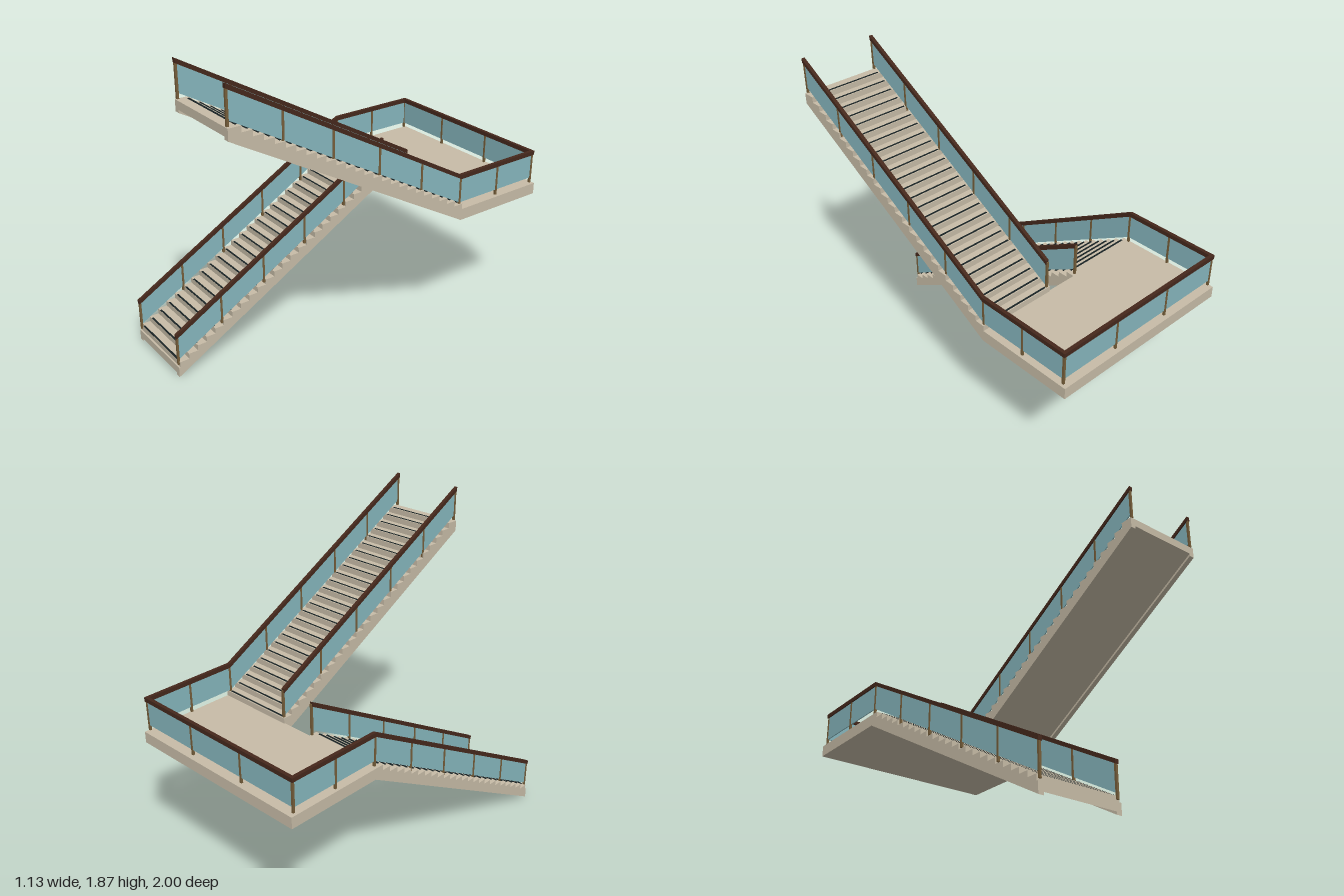
import * as THREE from 'three';

const mat = (name, color) => Object.assign(new THREE.MeshStandardMaterial({ color }), { name });

export function createModel() {
  const concrete = mat('concrete', 0xc7bca7);
  const glass = mat('glass', 0x86b6bd);
  const wood = mat('dark wood', 0x45281c);
  const bronze = mat('bronze', 0x765e3a);
  const grip = mat('grip strip', 0x182224);

  const model = new THREE.Group();
  model.name = 'staircase';

  const STEPS = 25, GOING = 0.0568, EDGE = -0.425;
  const DECK = 0.867, DECK_LOW = 0.802;

  function add(parent, name, geometry, material) {
    const mesh = new THREE.Mesh(geometry, material);
    mesh.name = name;
    parent.add(mesh);
    return mesh;
  }
  function box(parent, name, material, x0, x1, y0, y1, z0, z1) {
    const m = add(parent, name, new THREE.BoxGeometry(x1 - x0, y1 - y0, z1 - z0), material);
    m.position.set((x0 + x1) / 2, (y0 + y1) / 2, (z0 + z1) / 2);
  }
  // Side profile of [z, y] points, extruded from x0 to x1
  function profile(parent, name, material, pts, x0, x1) {
    const shape = new THREE.Shape(pts.map(([z, y]) => new THREE.Vector2(z, y)));
    const g = new THREE.ExtrudeGeometry(shape, { depth: x1 - x0, bevelEnabled: false });
    g.rotateY(-Math.PI / 2).translate(x1, 0, 0);
    add(parent, name, g, material);
  }
  // Band that follows a path of [z, y] points between two vertical offsets
  function band(parent, name, material, path, low, high, x, width) {
    const pts = [
      ...path.map(([z, y]) => [z, y + low]),
      ...path.slice().reverse().map(([z, y]) => [z, y + high]),
    ];
    profile(parent, name, material, pts, x - width / 2, x + width / 2);
  }

  // One flight: sawtooth body, two deeper stringers and a grip strip on each tread
  function flight(name, x0, x1, firstRiser, dir, stripInset, firstTread, rise, lowFront, lowBack) {
    const g = new THREE.Group();
    g.name = name;
    model.add(g);
    const start = dir < 0 ? 1 : EDGE;
    const end = dir < 0 ? EDGE : 1;
    const outline = [];
    for (let i = 0; i < STEPS; i++) {
      const z = firstRiser + dir * i * GOING;
      const y = firstTread + i * rise;
      outline.push([z, y - rise], [z, y]);
      const stripZ = z + dir * stripInset;
      box(g, 'gripStrip', grip, x0 + 0.025, x1 - 0.025, y - 0.003, y + 0.0015,
        stripZ - 0.0055, stripZ + 0.0055);
    }
    outline.push([end, firstTread + (STEPS - 1) * rise]);
    const yAt = z => lowBack + (lowFront - lowBack) * (z - EDGE) / (1 - EDGE);
    const under = lift => [[end, yAt(end) + lift], [start, yAt(start) + lift], [start, firstTread - rise]];
    profile(g, 'steps', concrete, [...outline, ...under(0.015)], x0 + 0.03, x1 - 0.03);
    for (const x of [x0, x1 - 0.03]) {
      profile(g, 'stringer', concrete, [...outline, ...under(0)], x, x + 0.03);
    }
  }
  flight('lowerFlight', -0.567, -0.094, 0.99, -1, 0.006, 0.093, (DECK - 0.093) / (STEPS - 1), 0, DECK_LOW);
  flight('upperFlight', 0.094, 0.567, -0.431, 1, 0.012, DECK + 0.032, 0.032, 1.607, DECK_LOW);

  // Half landing
  box(model, 'landing', concrete, -0.567, 0.567, DECK_LOW, DECK, -1, EDGE);

  // Railings
  const RAIL = 1.07, BACK = -0.974, SIDE = 0.552;
  const railing = new THREE.Group();
  railing.name = 'railing';
  model.add(railing);

  const post = (x, z, top) =>
    box(railing, 'post', bronze, x - 0.006, x + 0.006, top - 0.195, top - 0.01, z - 0.006, z + 0.006);

  for (const [side, topY] of [[-1, 0.265], [1, 1.87]]) {
    const slopeY = z => RAIL + (topY - RAIL) * (z + 0.42) / 1.42;
    for (const outer of [false, true]) {
      const x = side * (outer ? SIDE : 0.108);
      const tail = outer ? [[-0.42, RAIL], [BACK, RAIL]] : [[-0.42, RAIL]];
      band(railing, 'glassPanel', glass, [[0.99, slopeY(0.99)], ...tail], -0.165, -0.015, x, 0.006);
      band(railing, 'handrail', wood, [[1, topY], ...tail], -0.024, 0, x, 0.02);
      for (let i = 0; i <= 5; i++) {
        const z = 0.993 - i * 0.2826;
        post(x, z, slopeY(z));
      }
      if (outer) {
        post(x, -0.698, RAIL);
        post(x, BACK, RAIL);
      }
    }
    post(side * 0.187, BACK, RAIL);
  }
  // Back run across the landing
  box(railing, 'backGlass', glass, -SIDE, SIDE, RAIL - 0.165, RAIL - 0.015, BACK - 0.003, BACK + 0.003);
  box(railing, 'backHandrail', wood, -SIDE - 0.01, SIDE + 0.01, RAIL - 0.024, RAIL, BACK - 0.01, BACK + 0.01);

  return model;
}
